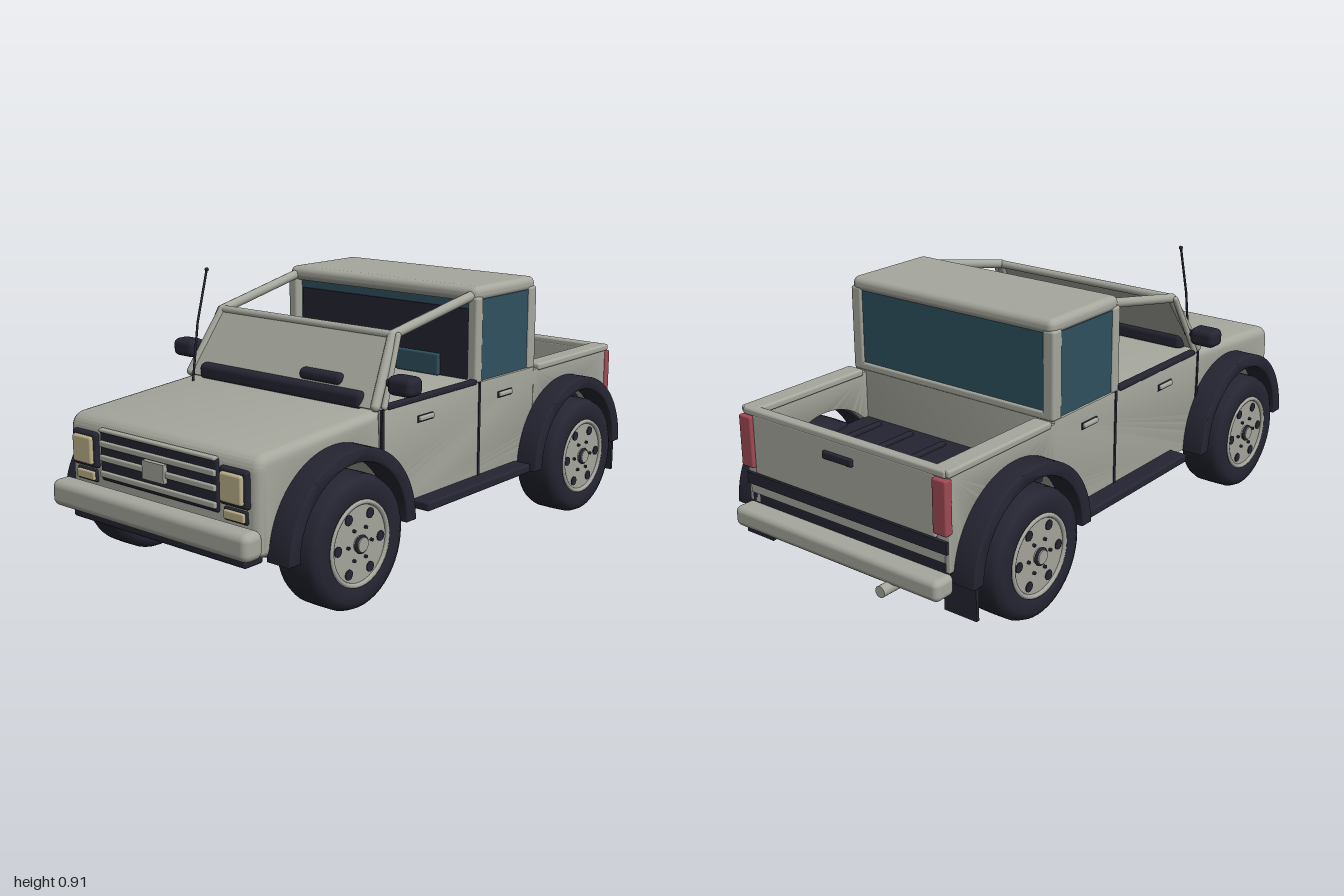
import * as THREE from 'three';
import { toCreasedNormals } from 'three/addons/utils/BufferGeometryUtils.js';
import { RoundedBoxGeometry } from 'three/addons/geometries/RoundedBoxGeometry.js';

const mat = (name, color, side = THREE.FrontSide) => {
  const m = new THREE.MeshStandardMaterial({ color, side });
  m.name = name;
  return m;
};

export function createModel() {
  const paint = mat('bodyPaint', 0xa6a89e);
  const dark = mat('darkTrim', 0x252533);
  const glass = mat('tealGlass', 0x2f5160, THREE.DoubleSide);
  const red = mat('tailRed', 0xa04a55);
  const cream = mat('lampCream', 0xbdb28c);
  const metal = mat('wheelMetal', 0xa5a69d);

  const truck = new THREE.Group();
  truck.name = 'pickupTruck';
  const add = (name, geo, m, x = 0, y = 0, z = 0, parent = truck) => {
    const mesh = new THREE.Mesh(geo, m);
    mesh.name = name;
    mesh.position.set(x, y, z);
    parent.add(mesh);
    return mesh;
  };
  // Box given by its limits, with an optional edge radius
  const box = (name, m, x0, x1, y0, y1, z0, z1, r = 0) => {
    const d = [Math.abs(x1 - x0), y1 - y0, z1 - z0];
    const g = r ? new RoundedBoxGeometry(...d, 3, r) : new THREE.BoxGeometry(...d);
    return add(name, g, m, (x0 + x1) / 2, (y0 + y1) / 2, (z0 + z1) / 2);
  };
  const both = (fn) => [1, -1].forEach(fn);
  // Rod through points
  const rod = (name, m, r, ...pts) => {
    for (let i = 0; i + 1 < pts.length; i++) {
      const a = new THREE.Vector3(...pts[i]), b = new THREE.Vector3(...pts[i + 1]);
      const mesh = add(name, new THREE.CapsuleGeometry(r, a.distanceTo(b), 4, 12), m);
      mesh.position.copy(a).lerp(b, 0.5);
      mesh.quaternion.setFromUnitVectors(new THREE.Vector3(0, 1, 0), b.sub(a).normalize());
    }
  };
  // Side profile (z, y) extruded across the width between x0 and x1
  const slab = (name, m, shape, x0, x1, bevel) => {
    const g = new THREE.ExtrudeGeometry(shape, {
      depth: x1 - x0 - 2 * bevel, bevelEnabled: bevel > 0, bevelSize: bevel,
      bevelThickness: bevel, bevelOffset: -bevel, bevelSegments: 4, curveSegments: 28,
    });
    g.translate(0, 0, -(x1 - x0 - 2 * bevel) / 2).rotateY(-Math.PI / 2);
    return add(name, toCreasedNormals(g, 0.6), m, (x0 + x1) / 2);
  };

  const AXLE_Y = 0.205, FRONT = 0.615, REAR = -0.61, ARCH = 0.245;

  // Bonnet block with the front wheel arch cut through it
  const nose = new THREE.Shape();
  nose.moveTo(0.4, 0.322);
  nose.absarc(FRONT, AXLE_Y, ARCH, Math.PI - 0.5, 0, true);
  nose.lineTo(0.93, 0.22);
  nose.lineTo(0.93, 0.46);
  nose.quadraticCurveTo(0.93, 0.512, 0.88, 0.516);
  nose.lineTo(0.4, 0.55);
  slab('bonnet', paint, nose, -0.41, 0.41, 0.03);

  // Cab lower body
  const cab = new THREE.Shape();
  cab.moveTo(-0.42, 0.55);
  cab.lineTo(-0.42, 0.36);
  cab.absarc(REAR, AXLE_Y, ARCH, 0.683, 0, true);
  cab.lineTo(0.37, 0.205);
  cab.absarc(FRONT, AXLE_Y, ARCH, Math.PI, Math.PI - 0.5, true);
  cab.lineTo(0.41, 0.55);
  slab('cabBody', paint, cab, -0.415, 0.415, 0.008);

  // Load bed
  const side = new THREE.Shape();
  side.moveTo(-0.415, 0.54);
  side.lineTo(-0.905, 0.54);
  side.lineTo(-0.905, 0.24);
  side.lineTo(-0.853, 0.24);
  side.absarc(REAR, AXLE_Y, ARCH, Math.PI - 0.14, 0.67, true);
  box('bedFloor', dark, -0.37, 0.37, 0.34, 0.38, -0.9, -0.42);
  for (let i = -2; i <= 2; i++) box('bedRib', dark, i * 0.14 - 0.01, i * 0.14 + 0.01, 0.375, 0.392, -0.87, -0.45, 0.005);
  box('tailgate', paint, -0.37, 0.37, 0.34, 0.54, -0.915, -0.88, 0.008);
  box('tailgateCap', paint, -0.41, 0.41, 0.53, 0.555, -0.915, -0.88, 0.008);
  box('tailgateHandle', dark, -0.06, 0.06, 0.475, 0.5, -0.925, -0.91, 0.005);
  box('rearDarkStrip', dark, -0.41, 0.41, 0.3, 0.338, -0.915, -0.885);
  box('rearPanel', paint, -0.4, 0.4, 0.27, 0.3, -0.91, -0.885);
  box('rearValance', dark, -0.4, 0.4, 0.2, 0.27, -0.905, -0.885);
  box('rearBumper', paint, -0.42, 0.42, 0.17, 0.237, -0.97, -0.89, 0.02);
  const pipe = add('exhaustPipe', new THREE.CylinderGeometry(0.018, 0.018, 0.16, 20), paint, -0.23, 0.163, -0.92);
  pipe.rotation.x = Math.PI / 2;

  // Front end: grille, lamps, bumper
  box('grille', dark, -0.255, 0.255, 0.325, 0.485, 0.9, 0.938, 0.01);
  [[0.484, 0.006], [0.442, 0.01], [0.398, 0.01], [0.348, 0.01]].forEach(([y, h]) =>
    box('grilleBar', paint, -0.25, 0.25, y - h, y + h, 0.925, 0.946, 0.005));
  box('grillePlate', metal, -0.046, 0.046, 0.373, 0.43, 0.93, 0.953);
  box('frontBumper', paint, -0.425, 0.425, 0.225, 0.31, 0.925, 1.0, 0.025);
  box('frontValance', dark, -0.375, 0.375, 0.19, 0.228, 0.88, 0.955, 0.01);

  // Cowl, dash capsule, gear knob and aerial
  box('cowl', dark, -0.35, 0.35, 0.54, 0.597, 0.39, 0.435, 0.018);
  box('dashPod', dark, 0.075, 0.248, 0.597, 0.635, 0.37, 0.41, 0.016);
  add('gearKnob', new THREE.SphereGeometry(0.014, 14, 10), dark, 0, 0.558, 0.175);
  rod('aerial', dark, 0.004, [-0.335, 0.54, 0.475], [-0.335, 0.735, 0.447], [-0.335, 0.905, 0.4]);
  add('aerialTip', new THREE.SphereGeometry(0.007, 10, 8), dark, -0.335, 0.905, 0.4);

  // Windscreen panel and its frame
  const screen = new THREE.Shape([[-0.4, 0], [0.4, 0], [0.365, 0.238], [-0.365, 0.238]].map((p) => new THREE.Vector2(...p)));
  const panel = add('windscreen', new THREE.ExtrudeGeometry(screen, { depth: 0.008, bevelEnabled: false }), paint, 0, 0.55, 0.425);
  panel.rotation.x = -Math.atan2(0.125, 0.205);
  rod('windscreenTopBar', paint, 0.014, [-0.365, 0.757, 0.3], [0.365, 0.757, 0.3]);

  // Rear cab: roof, windows, bulkhead
  box('roof', paint, -0.41, 0.41, 0.812, 0.862, -0.425, -0.075, 0.022);
  box('rearWindow', glass, -0.375, 0.375, 0.57, 0.82, -0.418, -0.41);
  box('rearWindowSill', paint, -0.41, 0.41, 0.545, 0.572, -0.425, -0.39, 0.008);
  box('bulkheadGlass', glass, -0.385, 0.385, 0.55, 0.82, -0.112, -0.105);
  box('bulkhead', dark, -0.365, 0.365, 0.55, 0.785, -0.105, -0.098);

  both((s) => {
    // Bed sides
    slab('bedSide', paint, side, s > 0 ? 0.365 : -0.415, s > 0 ? 0.415 : -0.365, 0.004);
    box('bedRail', paint, s * 0.355, s * 0.422, 0.532, 0.556, -0.91, -0.44, 0.008);
    box('tailLight', red, s * 0.368, s * 0.42, 0.36, 0.53, -0.925, -0.895, 0.006);
    box('mudFlap', dark, s * 0.36, s * 0.48, 0.095, 0.24, -0.872, -0.86);

    // Lamps
    box('headlightFrame', dark, s * 0.265, s * 0.377, 0.358, 0.47, 0.9, 0.945, 0.01);
    box('headlight', cream, s * 0.277, s * 0.365, 0.37, 0.458, 0.925, 0.956, 0.008);
    box('indicatorFrame', dark, s * 0.275, s * 0.368, 0.312, 0.352, 0.9, 0.937, 0.006);
    box('indicator', cream, s * 0.281, s * 0.362, 0.318, 0.346, 0.92, 0.945, 0.005);

    // Open cab frame
    rod('cabFrame', paint, 0.016, [s * 0.4, 0.56, 0.42], [s * 0.367, 0.757, 0.3], [s * 0.385, 0.833, -0.085]);
    rod('screenBrace', paint, 0.01, [s * 0.41, 0.555, 0.39], [s * 0.385, 0.757, 0.295]);
    box('cabFrontPillar', paint, s * 0.375, s * 0.415, 0.545, 0.83, -0.113, -0.075, 0.01);
    box('cabRearPillar', paint, s * 0.37, s * 0.415, 0.545, 0.83, -0.425, -0.38, 0.01);
    box('sideWindow', glass, s * 0.4, s * 0.408, 0.55, 0.82, -0.385, -0.108);
    box('seatTop', glass, s * 0.075, s * 0.255, 0.55, 0.625, -0.098, -0.08, 0.007);

    // Doors, mirrors and sill step
    box('beltTrim', dark, s * 0.395, s * 0.42, 0.545, 0.561, -0.075, 0.38, 0.004);
    [0.405, -0.095].forEach((z) => box('doorSeam', dark, s * 0.41, s * 0.418, 0.235, 0.55, z - 0.005, z + 0.005));
    [0.195, -0.24].forEach((z) => {
      box('handleRecess', dark, s * 0.41, s * 0.418, 0.477, 0.499, z - 0.04, z + 0.04);
      box('doorHandle', paint, s * 0.412, s * 0.428, 0.482, 0.497, z - 0.036, z + 0.036, 0.005);
    });
    rod('mirrorArm', dark, 0.012, [s * 0.395, 0.625, 0.365], [s * 0.44, 0.625, 0.365]);
    box('mirror', dark, s * 0.42, s * 0.515, 0.595, 0.655, 0.33, 0.4, 0.02);
    box('sillStep', dark, s * 0.4, s * 0.478, 0.205, 0.235, -0.32, 0.255, 0.008);

    // Wheel flares and wheels
    [FRONT, REAR].forEach((z) => {
      const flare = new THREE.Shape();
      flare.absarc(z, AXLE_Y, 0.282, -0.0, Math.PI, false);
      flare.absarc(z, AXLE_Y, 0.238, Math.PI, 0, true);
      slab('wheelFlare', dark, flare, s > 0 ? 0.4 : -0.492, s > 0 ? 0.492 : -0.4, 0.006);

      const wheel = new THREE.Group();
      wheel.name = 'wheel';
      wheel.position.set(s * 0.43, AXLE_Y, z);
      wheel.rotation.z = -s * Math.PI / 2; // local +y points outwards
      truck.add(wheel);
      const tyre = [[0.125, -0.07], [0.14, -0.08], [0.175, -0.08], [0.195, -0.07], [0.204, -0.05], [0.205, 0],
        [0.204, 0.05], [0.195, 0.07], [0.175, 0.08], [0.14, 0.08], [0.125, 0.07]];
      add('tyre', new THREE.LatheGeometry(tyre.map((p) => new THREE.Vector2(...p)), 48), dark, 0, 0, 0, wheel);
      add('rim', new THREE.CylinderGeometry(0.128, 0.128, 0.146, 40), metal, 0, -0.002, 0, wheel);
      const ring = (name, R, r, m, y) => {
        add(name, new THREE.TorusGeometry(R, r, 8, 36), m, 0, y, 0, wheel).rotation.x = Math.PI / 2;
      };
      ring('rimLip', 0.125, 0.008, metal, 0.073);
      ring('hubRing', 0.024, 0.005, dark, 0.08);
      add('hub', new THREE.CylinderGeometry(0.022, 0.026, 0.02, 20), metal, 0, 0.078, 0, wheel);
      const dots = (name, n, R, r, h, m) => {
        for (let i = 0; i < n; i++) {
          const a = ((i + 0.5) / n) * Math.PI * 2;
          add(name, new THREE.CylinderGeometry(r, r, h, 14), m, Math.cos(a) * R, 0.071 + h / 2, Math.sin(a) * R, wheel);
        }
      };
      dots('rimHole', 6, 0.095, 0.016, 0.003, dark);
      dots('wheelNut', 6, 0.052, 0.005, 0.008, dark);
    });
  });

  return truck;
}
